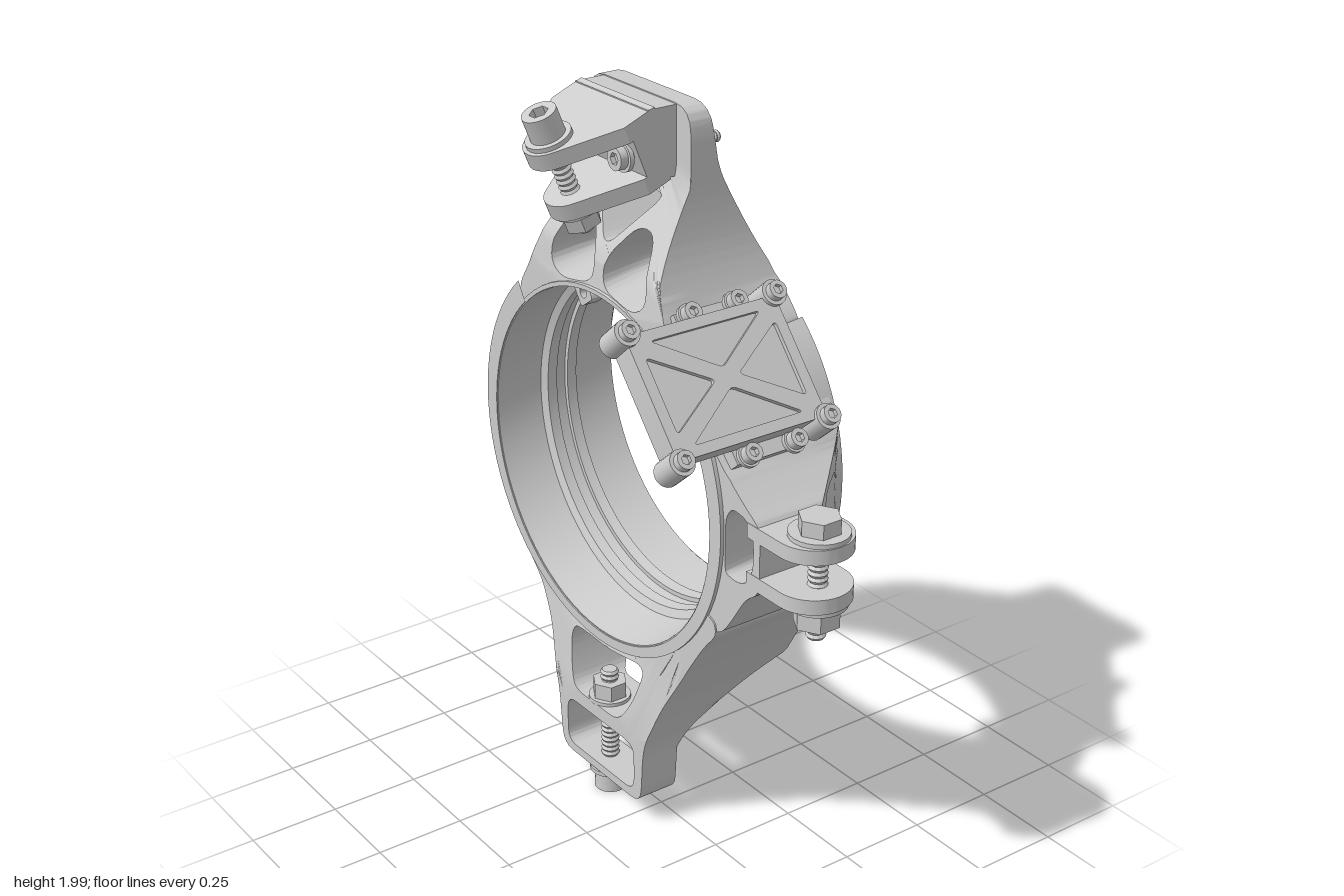
import * as THREE from 'three';
import { toCreasedNormals } from 'three/addons/utils/BufferGeometryUtils.js';

const CX = -0.163, CY = 1.027; // ring centre
const smooth = new THREE.MeshStandardMaterial({ color: 0xcccccc });
const flat = new THREE.MeshStandardMaterial({ color: 0xcccccc, flatShading: true });

function mesh(name, geo, parent, material = smooth) {
  const m = new THREE.Mesh(geo, material);
  m.name = name;
  parent.add(m);
  return m;
}
const crease = (geo, a = 0.5) => toCreasedNormals(geo, a);

function group(name, parent, x = 0, y = 0, z = 0) {
  const g = new THREE.Group();
  g.name = name;
  g.position.set(x, y, z);
  parent.add(g);
  return g;
}

// Closed path through points with rounded corners
function rounded(pts, r, Type = THREE.Shape) {
  const path = new Type(), v = pts.map(p => new THREE.Vector2(...p)), n = v.length;
  v.forEach((p, i) => {
    const toward = q => p.clone().add(q.clone().sub(p).setLength(Math.min(r, q.distanceTo(p) * 0.48)));
    const a = toward(v[(i + n - 1) % n]), b = toward(v[(i + 1) % n]);
    if (i) path.lineTo(a.x, a.y); else path.moveTo(a.x, a.y);
    path.quadraticCurveTo(p.x, p.y, b.x, b.y);
  });
  path.closePath();
  return path;
}

// Points along the bore, angles in degrees
function ringArc(from, to, r = 0.491, n = 12) {
  return Array.from({ length: n + 1 }, (_, i) => {
    const a = THREE.MathUtils.degToRad(from + (to - from) * i / n);
    return [CX + r * Math.cos(a), CY + r * Math.sin(a)];
  });
}

// Piecewise linear lookup, keys ascending
function ramp(v, keys) {
  if (v <= keys[0][0]) return keys[0][1];
  for (let i = 1; i < keys.length; i++) {
    const [a, za] = keys[i - 1], [b, zb] = keys[i];
    if (v <= b) return za + (zb - za) * (v - a) / (b - a);
  }
  return keys[keys.length - 1][1];
}

// Tilt the bore: its axis rises to the back, fading out away from it
function tiltBore(geo) {
  const p = geo.attributes.position;
  for (let i = 0; i < p.count; i++) {
    const fade = ramp(Math.hypot(p.getX(i) - CX, p.getY(i) - CY), [[0.5, 1], [0.57, 0]]);
    p.setY(i, p.getY(i) - 0.19 * fade * (p.getZ(i) + 0.1));
  }
  return geo;
}

// Split every triangle into four
function subdivide(geo) {
  const p = geo.attributes.position, out = [];
  for (let i = 0; i < p.count; i += 3) {
    const [a, b, c] = [0, 1, 2].map(k => new THREE.Vector3().fromBufferAttribute(p, i + k));
    const ab = a.clone().lerp(b, 0.5), bc = b.clone().lerp(c, 0.5), ca = c.clone().lerp(a, 0.5);
    for (const q of [a, ab, ca, ab, b, bc, ca, bc, c, ab, bc, ca]) out.push(q.x, q.y, q.z);
  }
  return new THREE.BufferGeometry().setAttribute('position', new THREE.Float32BufferAttribute(out, 3));
}

// Extruded web (outline anticlockwise) whose back and front surfaces follow rules
function web(name, outline, r, holes, back, front, parent) {
  const shape = rounded(outline, r);
  shape.holes = holes.map(h => rounded(h, 0.04, THREE.Path));
  const raw = new THREE.ExtrudeGeometry(shape, { depth: 1, bevelEnabled: false, curveSegments: 4 });
  const geo = subdivide(subdivide(raw));
  const p = geo.attributes.position;
  for (let i = 0; i < p.count; i++) {
    const x = p.getX(i), y = p.getY(i);
    p.setZ(i, THREE.MathUtils.lerp(back(x, y), front(x, y), p.getZ(i)));
  }
  return mesh(name, crease(tiltBore(geo), 0.8), parent);
}

// Horizontal slab from a plan shape (x, z)
function slab(name, shape, h, yTop, parent) {
  const geo = new THREE.ExtrudeGeometry(shape, { depth: h, bevelEnabled: false, curveSegments: 12 });
  geo.rotateX(Math.PI / 2).translate(0, yTop, 0);
  return mesh(name, crease(geo), parent);
}

function cyl(name, r, h, y, sides, parent) {
  const geo = new THREE.CylinderGeometry(r, r, h, sides);
  geo.translate(0, y + h / 2, 0);
  return mesh(name, geo, parent, sides < 10 ? flat : smooth);
}

// Bolt along y: head above the origin, threaded shaft below, optional nut
function bolt(name, parent, [x, y, z], { r, len, headR, headH, socket, washerR, nut }) {
  const g = group(name, parent, x, y, z);
  const t = washerR ? 0.012 : 0;
  if (washerR) cyl('washer', washerR, t, 0, 24, g);
  if (socket) {
    const s = new THREE.Shape().absarc(0, 0, headR, 0, Math.PI * 2);
    const hex = Array.from({ length: 6 }, (_, i) =>
      new THREE.Vector2(Math.cos(i * Math.PI / 3), Math.sin(i * Math.PI / 3)).multiplyScalar(headR * 0.55));
    s.holes.push(new THREE.Path(hex));
    slab('socketHead', s, headH, t + headH, g);
    cyl('socketFloor', headR * 0.8, headH * 0.4, t, 16, g);
  } else cyl('hexHead', headR, headH, t, 6, g);
  const pts = [new THREE.Vector2(0, -len)], n = Math.round(len / (r * 0.6));
  for (let i = 0; i <= 2 * n; i++) pts.push(new THREE.Vector2(i % 2 ? r : r * 0.8, -len + len * i / (2 * n)));
  mesh('threadedShaft', new THREE.LatheGeometry(pts, 12), g, flat);
  if (nut) {
    const h = headR;
    if (washerR) cyl('nutWasher', washerR, t, -nut - t, 24, g);
    cyl('nut', headR * 1.1, h, -nut - t - h, 6, g);
  }
  return g;
}

// Part of the ring turned about z; angles in degrees from the bottom
function turned(name, profile, start, sweep, parent) {
  const rad = THREE.MathUtils.degToRad;
  const geo = new THREE.LatheGeometry(profile.map(p => new THREE.Vector2(...p)), 72, rad(start), rad(sweep));
  geo.rotateX(Math.PI / 2).translate(CX, CY, 0);
  return mesh(name, crease(tiltBore(geo), 0.3), parent);
}

export function createModel() {
  const model = new THREE.Group();
  model.name = 'ringBracket';

  // Thin sleeve with a grooved lip, thickened except below the upper mount
  turned('sleeve', [[0.497, -0.291], [0.497, 0.087], [0.485, 0.087], [0.478, -0.05], [0.457, -0.06], [0.457, -0.09],
    [0.47, -0.09], [0.47, -0.125], [0.457, -0.125], [0.457, -0.155], [0.478, -0.165], [0.485, -0.291],
    [0.497, -0.291]], 0, 360, model);
  turned('ring', [[0.533, -0.295], [0.533, 0.09], [0.488, 0.09], [0.488, -0.295], [0.533, -0.295]], 222, 276, model);

  // Perforated tabs inside the ring
  for (const deg of [55, 125]) {
    const s = rounded([[0.395, -0.032], [0.475, -0.032], [0.475, 0.032], [0.395, 0.032]], 0.012);
    s.holes.push(new THREE.Path().absarc(0.425, 0, 0.015, 0, Math.PI * 2));
    const geo = new THREE.ExtrudeGeometry(s, { depth: 0.045, bevelEnabled: false });
    geo.rotateZ(THREE.MathUtils.degToRad(deg)).translate(CX, CY, -0.085);
    mesh('innerTab', crease(geo), model);
  }

  // Upper mount: flared legs, V struts and plate
  const TX = -0.168;
  const mirror = pts => pts.map(([x, y]) => [2 * TX - x, y]).reverse();
  const legs = [[-0.38, 1.985], [-0.385, 1.75], [-0.405, 1.62], [-0.455, 1.5], [-0.53, 1.41]];
  const eye = [[-0.33, 1.67], [-0.26, 1.67], [-0.185, 1.57], [-0.195, 1.53], [-0.33, 1.505], [-0.385, 1.525]];
  web('upperMount', [...legs, ...ringArc(134, 46), ...mirror(legs)], 0.065,
    [eye, mirror(eye), [[-0.31, 1.755], [-0.026, 1.755], [TX, 1.595]]],
    (x, y) => ramp(y, [[1.5, -0.288], [1.57, -0.265], [1.82, -0.14], [1.98, -0.115]]),
    (x, y) => ramp(y, [[1.5, 0.083], [1.57, 0.07], [1.79, -0.055]]), model);

  // Lower mount: tapered frame with two windows
  web('lowerMount', [[-0.57, 0.67], [-0.47, 0.55], [-0.39, 0.44], [-0.33, 0.27], [-0.31, 0.075],
    [0.063, 0.075], [0.075, 0.25], [0.14, 0.41], [0.22, 0.55], [0.3, 0.67], [0.36, 0.735], ...ringArc(-25, -137)], 0.045,
  [[[-0.29, 0.44], [-0.27, 0.475], [-0.2, 0.48], [-0.12, 0.475], [-0.016, 0.485], [0.05, 0.48], [0.01, 0.36],
    [-0.04, 0.287], [-0.25, 0.287], [-0.275, 0.36]],
  [[-0.286, 0.1], [0.032, 0.1], [0.032, 0.245], [-0.286, 0.245]]],
  (x, y) => ramp(y, [[0.23, 0], [0.32, -0.07], [0.415, -0.2], [0.47, -0.288]]),
  (x, y) => ramp(y, [[0.3, 0.115], [0.52, 0.083]]), model);

  // Side lug, its back sloping forward to the clevis
  web('sideLug', [...ringArc(29, -38), [0.36, 0.73], [0.41, 0.8], [0.46, 0.88], [0.51, 0.91],
    [0.51, 1.09], [0.46, 1.12], [0.38, 1.18], [0.29, 1.29]], 0.04,
  [[[0.375, 1.1], [0.45, 1.1], [0.485, 1.06], [0.485, 0.96], [0.45, 0.91], [0.375, 0.91]]],
  x => ramp(x, [[0.36, -0.284], [0.5, -0.12]]), () => 0.079, model);
  const ear = new THREE.Shape().moveTo(0.46, 0.08).lineTo(0.46, -0.12)
    .absarc(0.59, -0.02, 0.1, -Math.PI / 2, Math.PI / 2);
  for (const y of [1.09, 0.957]) slab('clevisEar', ear, 0.04, y, model);

  // Lug and lower clamp bolts
  bolt('lugBolt', model, [0.61, 1.09, -0.02],
    { r: 0.026, len: 0.28, headR: 0.055, headH: 0.04, washerR: 0.077, nut: 0.173 });
  bolt('lowerBolt', model, [-0.158, 0.07, 0.06],
    { r: 0.026, len: 0.305, headR: 0.045, headH: 0.058, socket: true, washerR: 0.058, nut: 0.215 }).rotation.z = Math.PI;

  // Upper clamp: block with two tilted arms joined by a core
  const block = new THREE.BoxGeometry(0.31, 0.18, 0.1);
  block.translate(TX, 1.892, -0.02);
  mesh('clampBlock', block, model);
  const clamp = group('upperClamp', model, TX, 1.82, 0.175);
  clamp.rotation.x = 0.39;
  for (const [y, back] of [[0.092, -0.215], [-0.058, -0.19]]) {
    const arm = new THREE.Shape().moveTo(-0.155, back).lineTo(-0.155, -0.12)
      .absarc(0, 0, 0.07, 2.58, 0.56, true).lineTo(0.155, -0.12).lineTo(0.155, back);
    slab('clampArm', arm, 0.045, y, clamp);
  }
  const core = new THREE.BoxGeometry(0.31, 0.12, 0.08);
  core.translate(0, -0.005, -0.17);
  mesh('clampCore', core, clamp);
  bolt('clampBolt', clamp, [0, 0.092, 0],
    { r: 0.026, len: 0.27, headR: 0.045, headH: 0.066, socket: true, washerR: 0.06, nut: 0.195 });
  for (const s of [-1, 1]) {
    bolt('plateScrew', model, [TX + s * 0.104, 1.86, 0.06],
      { r: 0.016, len: 0.28, headR: 0.03, headH: 0.022, socket: true, washerR: 0.038, nut: 0.192 }).rotation.x = Math.PI / 2;
  }

  // Ribbed panel box on the ring's shoulder
  const box = group('panelBox', model, 0.3, 1.393, 0.035);
  box.rotation.z = -0.855;
  const rect = (w, h) => [[-w, -h], [w, -h], [w, h], [-w, h]];
  slab('panelBody', rounded(rect(0.163, 0.225), 0.03), 0.06, 0.012, box);
  const ribs = rounded(rect(0.163, 0.225), 0.03);
  for (const s of [-1, 1]) {
    ribs.holes.push(rounded([[-0.1, s * 0.195], [0.1, s * 0.195], [0, s * 0.035]], 0.015, THREE.Path),
      rounded([[s * 0.135, -0.165], [s * 0.135, 0.165], [s * 0.025, 0]], 0.015, THREE.Path));
  }
  slab('crossRibs', ribs, 0.012, 0.024, box);
  const base = new THREE.BoxGeometry(0.4, 0.055, 0.21);
  base.translate(0, -0.075, -0.08);
  mesh('panelMount', base, box);
  for (const sx of [-1, 1]) {
    for (const sz of [-1, 1]) {
      const corner = group('cornerBoss', box, sx * 0.167, 0, sz * 0.22);
      cyl('boss', 0.034, 0.085, -0.05, 20, corner);
      bolt('cornerScrew', corner, [0, 0.035, 0], { r: 0.014, len: 0.1, headR: 0.024, headH: 0.02, socket: true });
    }
    for (const z of [-0.15, -0.01]) {
      bolt('mountScrew', box, [sx * 0.187, -0.048, z],
        { r: 0.014, len: 0.06, headR: 0.024, headH: 0.025, socket: true, washerR: 0.03 });
    }
  }
  return model;
}
